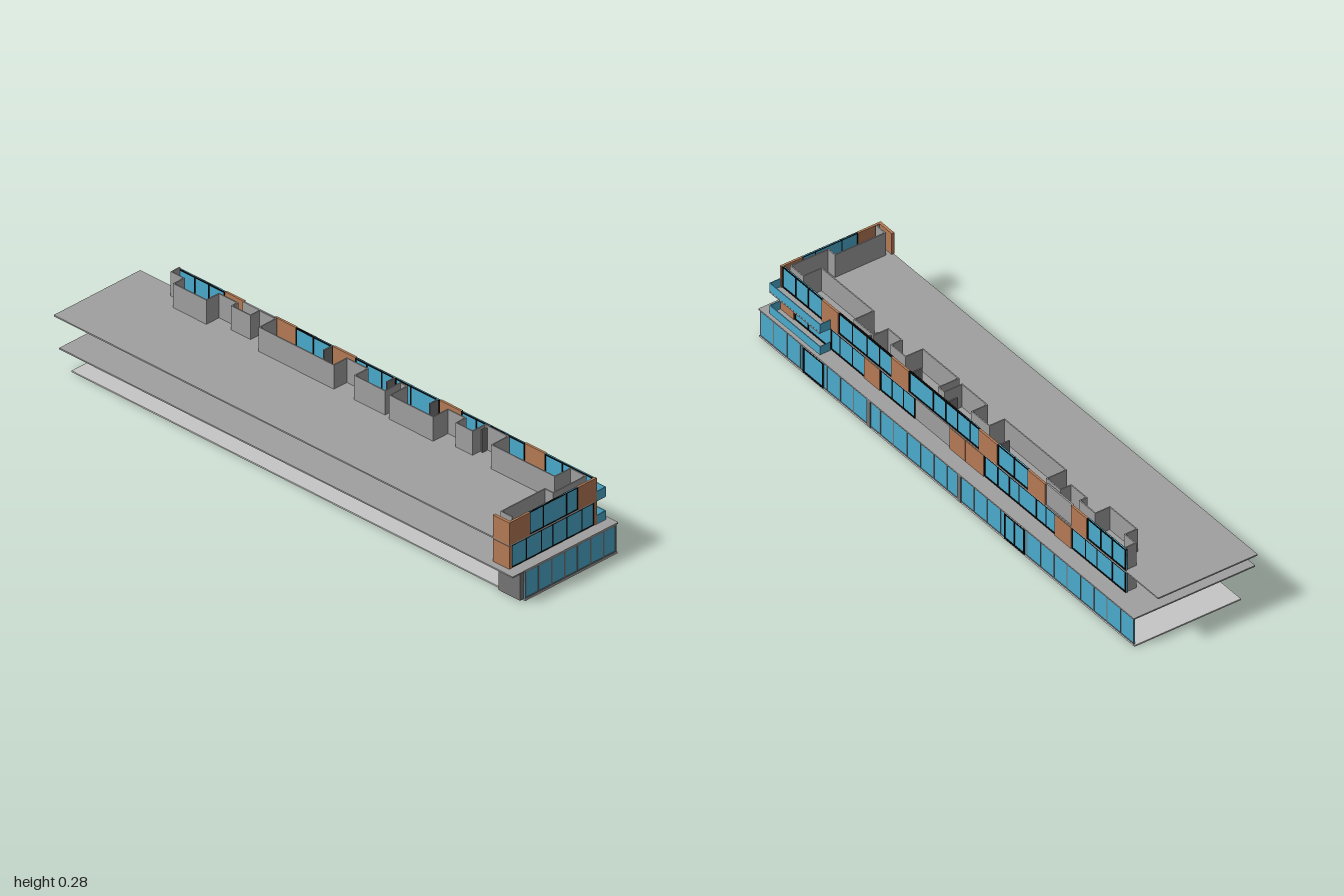
import * as THREE from 'three';

const mat = (name, color) => {
  const m = new THREE.MeshStandardMaterial({ color });
  m.name = name;
  return m;
};

export function createModel() {
  const concrete = mat('concrete grey', 0xa0a0a0);
  const floorGrey = mat('floor light grey', 0xc6c6c6);
  const metal = mat('frame grey', 0x757575);
  const black = mat('frame black', 0x080808);
  const glass = mat('glass blue', 0x4aabcd);
  const clad = mat('cladding orange', 0xb67b55);
  const model = new THREE.Group();
  model.name = 'terraceBuilding';

  const group = (name, parent = model) => {
    const g = new THREE.Group();
    g.name = name;
    parent.add(g);
    return g;
  };
  // Box given by its two extreme corners
  const box = (parent, name, m, x0, x1, y0, y1, z0, z1) => {
    const mesh = new THREE.Mesh(new THREE.BoxGeometry(x1 - x0, y1 - y0, z1 - z0), m);
    mesh.position.set((x0 + x1) / 2, (y0 + y1) / 2, (z0 + z1) / 2);
    mesh.name = name;
    parent.add(mesh);
  };
  // Upright panel: side panels run along z at x = pos, front panels run along x at z = pos
  const panel = (parent, name, m, side, pos, a, b, y0, y1, t) => {
    if (side) box(parent, name, m, pos - t / 2, pos + t / 2, y0, y1, a, b);
    else box(parent, name, m, a, b, y0, y1, pos - t / 2, pos + t / 2);
  };
  // Glazing strip with a bar at every cut, plus sill and head
  const glazing = (parent, m, side, pos, cuts, y0, y1, w) => {
    const g = group('windowStrip', parent);
    const a = cuts[0], b = cuts[cuts.length - 1];
    panel(g, 'glass', glass, side, pos, a, b, y0, y1, 0.003);
    panel(g, 'sill', m, side, pos, a, b, y0, y0 + w, 0.006);
    panel(g, 'head', m, side, pos, a, b, y1 - w, y1, 0.006);
    cuts.forEach((c, i) => {
      const shift = i === 0 ? w / 2 : i === cuts.length - 1 ? -w / 2 : 0;
      panel(g, 'mullion', m, side, pos, c + shift - w / 2, c + shift + w / 2, y0, y1, 0.006);
    });
  };

  // Slabs
  const slabs = group('slabs');
  box(slabs, 'groundFloor', floorGrey, -0.178, 0.225, 0, 0.005, -0.95, 1);
  box(slabs, 'terraceSlab', concrete, -0.232, 0.228, 0.104, 0.109, -0.95, 1);
  box(slabs, 'upperSlab', concrete, -0.205, 0.172, 0.189, 0.194, -1, 0.96);
  box(slabs, 'balconySlab', concrete, 0.172, 0.215, 0.189, 0.194, 0.70, 0.96);

  // Ground floor glazing
  const ground = group('groundStorey');
  const bays = [];
  for (let i = 0; i <= 28; i++) bays.push(-0.945 + (1.94 * i) / 28);
  glazing(ground, metal, true, 0.222, bays, 0.005, 0.104, 0.004);
  glazing(ground, metal, false, 0.995, [-0.175, -0.115, -0.06, -0.003, 0.055, 0.11, 0.167, 0.222], 0.005, 0.104, 0.005);
  for (const z of [0.43, -0.04]) panel(ground, 'column', metal, true, 0.223, z - 0.01, z + 0.01, 0.005, 0.104, 0.008);
  glazing(ground, black, true, 0.2245, [0.665, 0.77], 0.006, 0.103, 0.006);
  glazing(ground, black, true, 0.2245, [-0.38, -0.328, -0.275], 0.006, 0.103, 0.006);
  panel(ground, 'cornerPanel', metal, false, 0.99, -0.192, -0.17, 0.005, 0.104, 0.006);
  panel(ground, 'returnWall', metal, true, -0.19, 0.9, 0.99, 0.005, 0.104, 0.006);

  // Upper storeys: window cuts, cladding spans and plain wall spans along z and x
  const storeys = [
    {
      name: 'middleStorey', y0: 0.109, y1: 0.189,
      windows: [[-0.83, -0.76, -0.68, -0.62, -0.55], [-0.465, -0.415, -0.365, -0.275, -0.225, -0.165, -0.095],
        [0.265, 0.325, 0.385, 0.445], [0.525, 0.59, 0.655, 0.70, 0.82, 0.89]],
      cladding: [[-0.55, -0.465], [-0.095, -0.003], [0.0, 0.08], [0.445, 0.525], [0.89, 0.96]],
      plain: [[0.08, 0.265]],
      frontWindow: [-0.195, -0.13, -0.066, -0.015, 0.047, 0.111, 0.164],
    },
    {
      name: 'topStorey', y0: 0.194, y1: 0.274,
      windows: [[-0.83, -0.76, -0.70, -0.63], [-0.325, -0.25, -0.165],
        [-0.07, -0.02, 0.045, 0.105, 0.17, 0.295], [0.385, 0.45, 0.515, 0.59, 0.66], [0.745, 0.82, 0.885, 0.955]],
      cladding: [[-0.63, -0.55], [-0.415, -0.325], [-0.165, -0.07], [0.295, 0.385], [0.66, 0.745]],
      plain: [[-0.55, -0.415]],
      frontWindow: [-0.117, -0.056, 0.045, 0.094],
    },
  ];
  for (const s of storeys) {
    const g = group(s.name);
    for (const cuts of s.windows) glazing(g, black, true, 0.168, cuts, s.y0, s.y1, 0.005);
    for (const [a, b] of s.cladding) panel(g, 'claddingPanel', clad, true, 0.17, a, b, s.y0, s.y1, 0.008);
    for (const [a, b] of s.plain) panel(g, 'plainWall', concrete, true, 0.165, a, b, s.y0, s.y1, 0.006);
    const f = s.frontWindow;
    glazing(g, black, false, 0.957, f, s.y0, s.y1, 0.003);
    panel(g, 'frontCladdingWest', clad, false, 0.957, -0.207, f[0], s.y0, s.y1, 0.008);
    panel(g, 'frontCladdingEast', clad, false, 0.957, f[f.length - 1], 0.174, s.y0, s.y1, 0.008);
    panel(g, 'claddingReturn', clad, true, -0.202, 0.89, 0.957, s.y0, s.y1, 0.01);
    // Balcony balustrade
    const b = group('balustrade', g), y = s.y0 - 0.002;
    panel(b, 'sideRail', glass, true, 0.213, 0.70, 0.96, y, y + 0.033, 0.003);
    panel(b, 'frontRail', glass, false, 0.96, 0.174, 0.2145, y, y + 0.033, 0.003);
    panel(b, 'backRail', glass, false, 0.70, 0.174, 0.2145, y, y + 0.033, 0.003);
  }
  // Dividing fins behind the top windows
  for (const z of [-0.17, 0.1, 0.285, 0.51]) panel(model, 'dividingFin', metal, false, z, 0.13, 0.168, 0.194, 0.274, 0.005);

  // Zigzag inner walls repeated on every storey, as (x, z) corners
  const zigzag = [
    [0.165, -0.825], [0.13, -0.825], [0.13, -0.77], [0.085, -0.77], [0.085, -0.63], [0.14, -0.63], [0.14, -0.55],
    [0.115, -0.55], [0.115, -0.47], [0.155, -0.47], [0.155, -0.4], [0.083, -0.4], [0.083, -0.08], [0.14, -0.08],
    [0.14, 0.01], [0.083, 0.01], [0.083, 0.14], [0.15, 0.14], [0.15, 0.17], [0.075, 0.17], [0.075, 0.355],
    [0.14, 0.355], [0.14, 0.43], [0.1, 0.43], [0.1, 0.5], [0.155, 0.5], [0.155, 0.6], [0.083, 0.6], [0.083, 0.87],
    [0.152, 0.87], [0.152, 0.935], [0.01, 0.935], [0.01, 0.9], [-0.18, 0.9], [-0.18, 0.945],
  ];
  for (const [y0, y1] of [[0.004, 0.104], [0.109, 0.189], [0.194, 0.28]]) {
    const g = group('innerWalls');
    for (let i = 1; i < zigzag.length; i++) {
      const [xa, za] = zigzag[i - 1], [xb, zb] = zigzag[i], t = 0.002;
      box(g, 'innerWall', concrete, Math.min(xa, xb) - t, Math.max(xa, xb) + t, y0, y1,
        Math.min(za, zb) - t, Math.max(za, zb) + t);
    }
  }
  return model;
}
